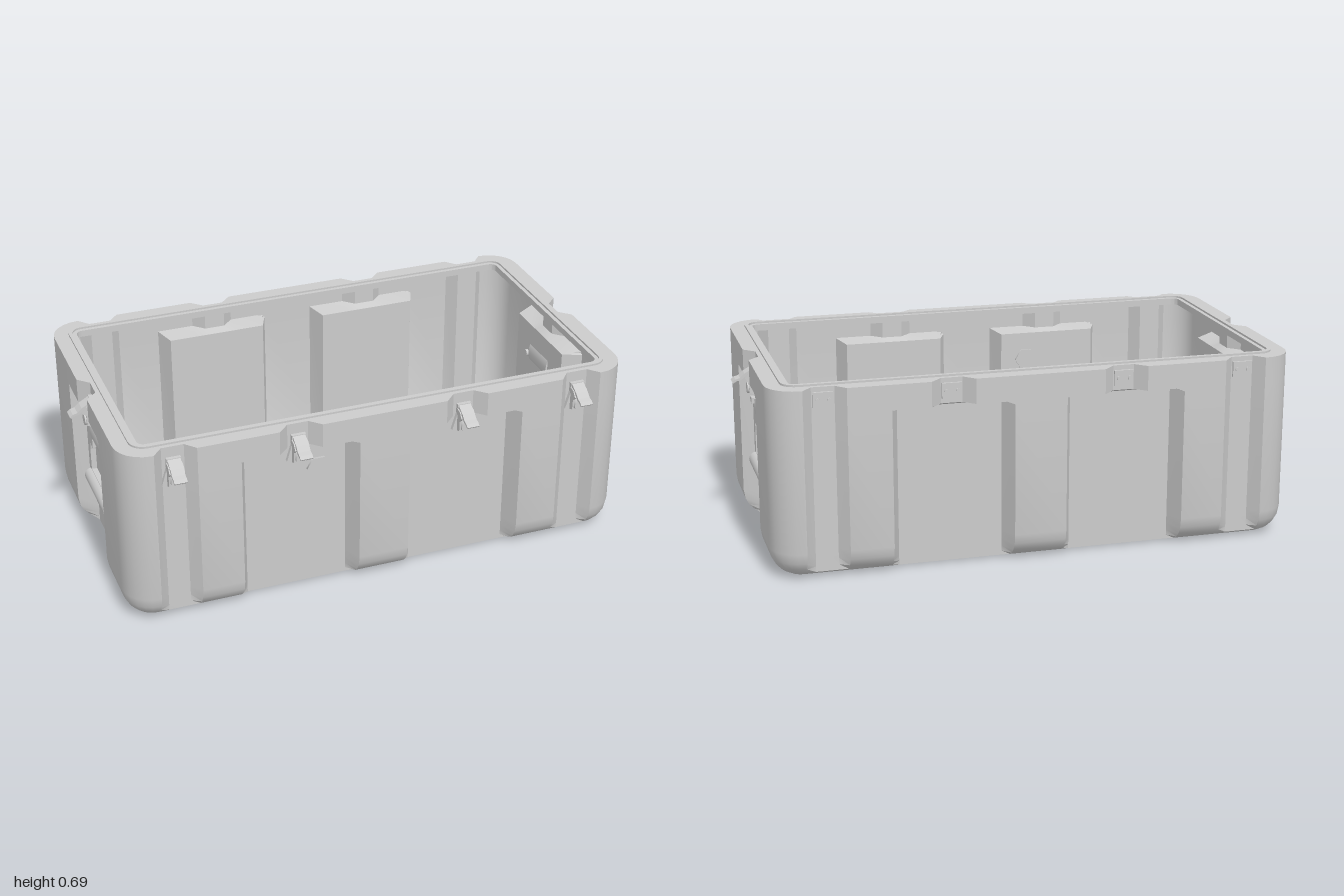
import * as THREE from 'three';
import { toCreasedNormals } from 'three/addons/utils/BufferGeometryUtils.js';

const HX = 0.945, HZ = 0.53, R = 0.11, WALL = 0.02;
const POCKET = 0.07, CHANNEL = 0.04;      // recess depths
const SHORT = [0], LONG = [-0.31, 0.31];  // wide pocket centres per side
const GROOVES = [-0.755, 0.755];          // full-height channels on long sides
const grey = new THREE.MeshStandardMaterial({ color: 0xcccccc, side: THREE.DoubleSide });

function mesh(name, geo, parent, x = 0, y = 0, z = 0) {
  const m = new THREE.Mesh(geo, grey);
  m.name = name;
  m.position.set(x, y, z);
  parent.add(m);
  return m;
}

// Depth of the recesses at tangential position s and height y; sides 0..3 = +x, +z, -x, -z
const trapezoid = (s, c, half, slant) => THREE.MathUtils.clamp((half - Math.abs(s - c)) / slant, 0, 1);
function recess(side, s, y) {
  let d = 0;
  for (const c of side % 2 ? LONG : SHORT) {
    if (y < 0.585) d = Math.max(d, POCKET * trapezoid(s, c, 0.216, 0.03));
    else d = Math.max(d, CHANNEL * trapezoid(s, c, 0.078, 0.04));
  }
  if (side % 2) for (const c of GROOVES) d = Math.max(d, CHANNEL * trapezoid(s, c, 0.075, 0.035));
  return d;
}
function breaks(side) {
  const list = [];
  for (const c of side % 2 ? LONG : SHORT)
    for (const o of [0.216, 0.186, 0.078, 0.038]) list.push(c - o, c + o);
  if (side % 2) for (const c of GROOVES) for (const o of [0.075, 0.04]) list.push(c - o, c + o);
  return list.sort((a, b) => a - b);
}

// Closed outline at height y, inset by d, optionally following the recesses
function ring(y, d, extra, follow) {
  const pts = [];
  for (let k = 0; k < 4; k++) {
    const a = k * Math.PI / 2, H = k % 2 ? HZ : HX, T = k % 2 ? HX : HZ;
    const at = (n, t) => pts.push([n * Math.cos(a) - t * Math.sin(a), y, n * Math.sin(a) + t * Math.cos(a)]);
    for (const s of breaks(k)) at(H - (follow ? Math.max(d, recess(k, s, y) + extra) : d), s);
    for (let i = 0; i <= 6; i++) {
      const b = i * Math.PI / 12, r = R - d;
      at(H - R + r * Math.cos(b), T - R + r * Math.sin(b));
    }
  }
  return pts;
}

// One skin: rounded bottom, recessed walls, stepped rim, inner walls and floor
function shellGeometry() {
  const round = (y, r) => (y >= r ? 0 : r - Math.sqrt(r * r - (r - y) * (r - y)));
  const rings = [];
  for (const y of [0, 0.005, 0.02, 0.04, 0.065, 0.1, 0.578, 0.59, 0.68]) rings.push(ring(y, round(y, 0.1), 0, true));
  for (const [y, d] of [[0.68, 0.055], [0.687, 0.055], [0.687, 0.07], [0.68, 0.07], [0.68, 0.085], [0.655, 0.085]])
    rings.push(ring(y, d, 0, false));
  for (const y of [0.655, 0.59, 0.578, 0.1, 0.06, 0.035, 0.025, 0.02])
    rings.push(ring(y, WALL + round(y - WALL, 0.08), WALL, true));
  const n = rings[0].length, pos = rings.flat(2), idx = [], last = (rings.length - 1) * n;
  const under = rings.length * n;
  pos.push(0, 0, 0, 0, WALL, 0);
  for (let j = 0; j < n; j++) {
    const q = (j + 1) % n;
    for (let i = 0; i < rings.length - 1; i++) {
      const a = i * n + j, b = i * n + q, c = b + n, d = a + n;
      idx.push(a, d, c, a, c, b);
    }
    idx.push(j, q, under, last + j, under + 1, last + q);
  }
  const g = new THREE.BufferGeometry();
  g.setAttribute('position', new THREE.Float32BufferAttribute(pos, 3));
  g.setIndex(idx);
  return toCreasedNormals(g, 0.6);
}

// Group whose local +z points out of the given side, at depth d below its face
function mount(name, parent, side, s, d) {
  const g = new THREE.Group(), a = side * Math.PI / 2, n = (side % 2 ? HZ : HX) - d;
  g.name = name;
  g.position.set(n * Math.cos(a) - s * Math.sin(a), 0, n * Math.sin(a) + s * Math.cos(a));
  g.rotation.y = Math.PI / 2 - a;
  parent.add(g);
  return g;
}
const poly = pts => new THREE.Shape(pts.map(p => new THREE.Vector2(p[0], p[1])));
const extrude = (shape, depth) => new THREE.ExtrudeGeometry(shape, { depth, bevelEnabled: false });
// Side profile given as (outward, height), extruded across the width
const across = (pts, w) => extrude(poly(pts), w).rotateY(-Math.PI / 2).translate(w / 2, 0, 0);
const peg = (r, len, sides = 14) => new THREE.CylinderGeometry(r, r, len, sides).rotateX(Math.PI / 2);

function addLatch(parent, side, s) {
  const g = mount('latch', parent, side, s, CHANNEL);
  // Base plate flaring towards the bottom
  mesh('latchBase', extrude(poly([[-0.03, 0.53], [0.03, 0.53], [0.045, 0.542], [0.026, 0.605],
    [0.026, 0.64], [-0.026, 0.64], [-0.026, 0.605], [-0.045, 0.542]]), 0.014), g);
  for (const x of [-0.024, 0.024])
    mesh('latchCheek', across([[0.01, 0.535], [0.034, 0.545], [0.036, 0.585], [0.05, 0.6], [0.034, 0.62], [0.01, 0.625]], 0.006), g, x);
  mesh('latchPivot', peg(0.02, 0.03), g, 0, 0.558, 0.025);
  mesh('latchBar', peg(0.008, 0.05, 10).rotateY(Math.PI / 2), g, 0, 0.605, 0.03);
  // Lever curling outward
  mesh('latchLever', across([[0.01, 0.64], [0.03, 0.628], [0.05, 0.617], [0.066, 0.602], [0.083, 0.597], [0.094, 0.588],
    [0.09, 0.583], [0.08, 0.59], [0.062, 0.594], [0.045, 0.607], [0.028, 0.617], [0.01, 0.622]], 0.046), g);
}

function addStrikePlate(parent, s) {
  const g = mount('strikePlate', parent, 3, s, CHANNEL);
  mesh('plate', new THREE.BoxGeometry(0.07, 0.055, 0.008), g, 0, 0.635, 0.004);
  for (const x of [-0.02, 0.02]) mesh('plateRivet', peg(0.007, 0.008, 10), g, x, 0.635, 0.01);
}

function addHandle(parent, side) {
  const g = mount('handle', parent, side, 0, POCKET);
  mesh('handleBackPlate', new THREE.BoxGeometry(0.304, 0.3, 0.01), g, 0, 0.367, 0.005);
  // U-shaped bail with inward shoulders
  mesh('handleBail', extrude(poly([[-0.152, 0.217], [0.152, 0.217], [0.152, 0.465], [0.114, 0.485], [0.076, 0.485],
    [0.076, 0.39], [0.115, 0.39], [0.12, 0.36], [0.12, 0.275], [-0.12, 0.275], [-0.12, 0.36], [-0.115, 0.39],
    [-0.076, 0.39], [-0.076, 0.485], [-0.114, 0.485], [-0.152, 0.465]]), 0.02), g, 0, 0, 0.01);
  mesh('handleGrip', new THREE.CylinderGeometry(0.027, 0.027, 0.27, 16).rotateZ(Math.PI / 2), g, 0, 0.246, 0.028);
  const barrel = mesh('handleBarrel', new THREE.CylinderGeometry(0.053, 0.053, 0.152, 20).rotateZ(Math.PI / 2), g, 0, 0.463, 0.005);
  barrel.scale.z = 0.6;
  for (const x of [-0.132, 0.132]) mesh('handleHinge', new THREE.BoxGeometry(0.038, 0.02, 0.03), g, x, 0.475, 0.025);
  // Fasteners on the inside of the wall
  for (const x of [-0.095, 0.095]) for (const y of [0.3, 0.45])
    mesh('handleRivet', peg(0.013, 0.012), g, x, y, -WALL - 0.004);
}

export function createModel() {
  const model = new THREE.Group();
  model.name = 'transportCase';
  model.position.z = -0.025;
  mesh('caseShell', shellGeometry(), model);
  for (const s of [...GROOVES, ...LONG]) {
    addLatch(model, 1, s);
    addStrikePlate(model, s);
  }
  for (const side of [0, 2]) {
    addLatch(model, side, 0);
    addHandle(model, side);
  }
  // Hexagonal pressure valve through the front wall
  const valve = mount('pressureValve', model, 1, 0.225, POCKET);
  mesh('valveBody', new THREE.CylinderGeometry(0.044, 0.044, 0.036, 6).rotateY(Math.PI / 6).rotateX(Math.PI / 2), valve, 0, 0.472, -0.009);
  const root = new THREE.Group();
  root.add(model);
  return root;
}
